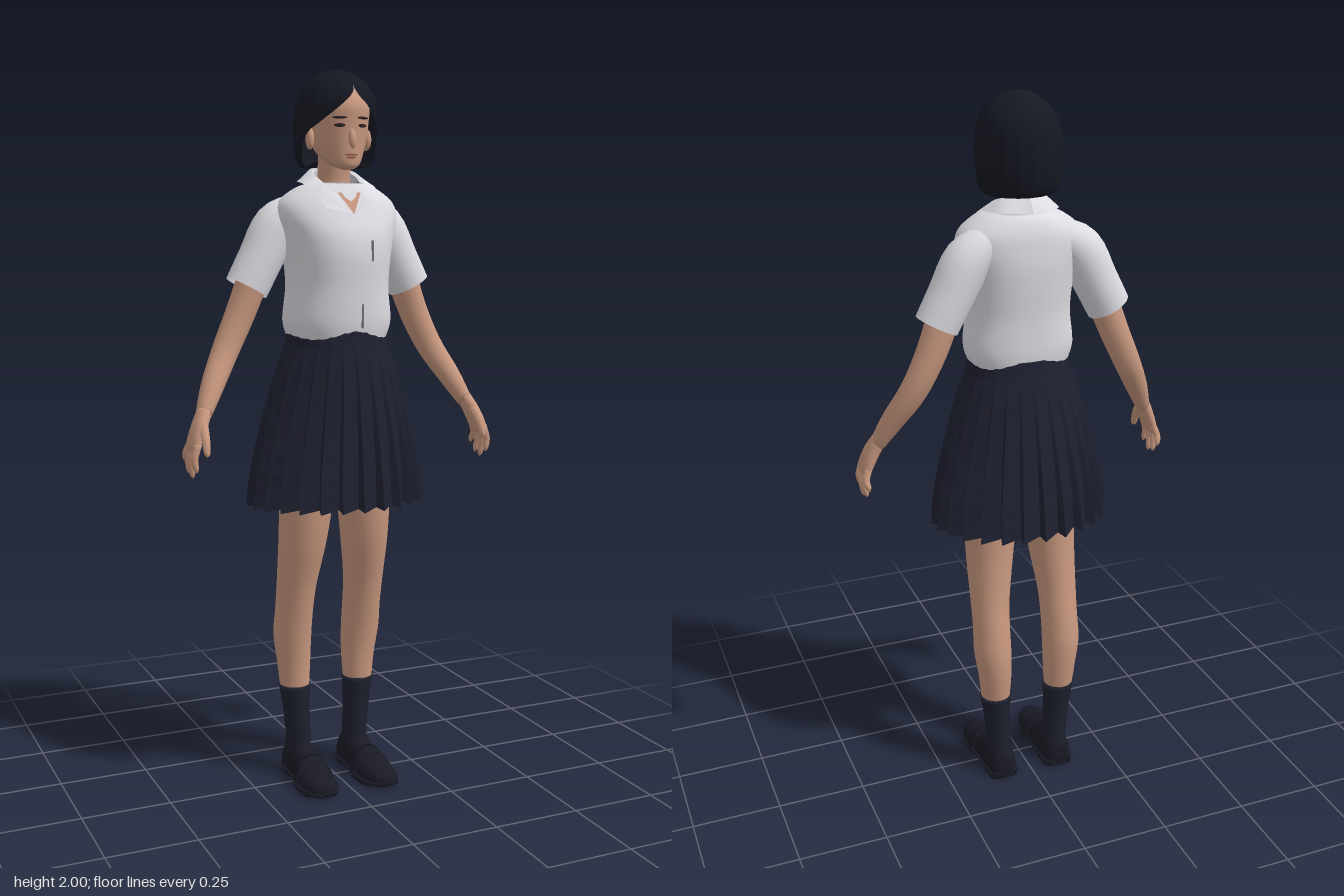
import * as THREE from 'three';

const flat = (name, color, side = THREE.FrontSide) => {
  const m = new THREE.MeshStandardMaterial({ color, side });
  m.name = name;
  return m;
};
const D = THREE.DoubleSide;

// Catmull-Rom resampling of rows of numbers
function smooth(rows, steps) {
  const out = [], last = rows.length - 1;
  for (let i = 0; i < last; i++) {
    const p = [rows[Math.max(i - 1, 0)], rows[i], rows[i + 1], rows[Math.min(i + 2, last)]];
    for (let k = 0; k < steps; k++) {
      const t = k / steps;
      out.push(rows[0].map((_, c) => {
        const [a, b, d, e] = p.map((r) => r[c]);
        return b + 0.5 * t * (d - a + t * (2 * a - 5 * b + 4 * d - e + t * (3 * (b - d) + e - a)));
      }));
    }
  }
  out.push(rows[last]);
  return out;
}

// Skin of rows x cols points; optional wrap-around and end caps
function surface(rows, cols, point, { closed = true, caps = false } = {}) {
  const pos = [], idx = [], n = closed ? cols : cols + 1;
  for (let i = 0; i < rows; i++) for (let j = 0; j < n; j++) pos.push(...point(i, j / cols));
  const at = (i, j) => i * n + (closed ? j % cols : j);
  for (let i = 0; i < rows - 1; i++) for (let j = 0; j < cols; j++)
    idx.push(at(i, j), at(i, j + 1), at(i + 1, j), at(i, j + 1), at(i + 1, j + 1), at(i + 1, j));
  if (caps) for (const i of [0, rows - 1]) {
    const c = [0, 0, 0];
    for (let j = 0; j < n; j++) for (let k = 0; k < 3; k++) c[k] += pos[at(i, j) * 3 + k] / n;
    const centre = pos.length / 3;
    pos.push(...c);
    for (let j = 0; j < cols; j++)
      i ? idx.push(centre, at(i, j), at(i, j + 1)) : idx.push(centre, at(i, j + 1), at(i, j));
  }
  const g = new THREE.BufferGeometry();
  g.setAttribute('position', new THREE.Float32BufferAttribute(pos, 3));
  g.setIndex(idx);
  g.computeVertexNormals();
  return g;
}

// Horizontal sections: [y, cx, cz, halfWidth, front, back, tilt]
function body(rows, { cols = 32, power = 1, caps = true, steps = 4 } = {}) {
  const r = smooth(rows, steps);
  const pw = (v) => Math.sign(v) * Math.abs(v) ** power;
  return surface(r.length, cols, (i, v) => {
    const [y, cx, cz, rx, f, b, tilt = 0] = r[i];
    const s = pw(Math.sin(v * 2 * Math.PI)), c = pw(Math.cos(v * 2 * Math.PI));
    const dz = c * (c > 0 ? f : b);
    return [cx + rx * s, y - tilt * dz, cz + dz];
  }, { caps });
}

// Sections across a path: [x, y, z, radius across, radius in depth]
function limb(rows, { cols = 16, caps = true, steps = 4 } = {}) {
  const r = smooth(rows, steps), P = r.map((q) => new THREE.Vector3(q[0], q[1], q[2]));
  return surface(r.length, cols, (i, v) => {
    const T = P[Math.min(i + 1, P.length - 1)].clone().sub(P[Math.max(i - 1, 0)]).normalize();
    const V = new THREE.Vector3(0, 0, 1).addScaledVector(T, -T.z).normalize();
    const U = T.clone().cross(V), a = v * 2 * Math.PI;
    return P[i].clone().addScaledVector(U, r[i][3] * Math.sin(a)).addScaledVector(V, r[i][4] * Math.cos(a)).toArray();
  }, { caps });
}

function mirrored(geo) {
  const g = geo.clone().scale(-1, 1, 1), a = g.index.array;
  for (let i = 0; i < a.length; i += 3) [a[i], a[i + 1]] = [a[i + 1], a[i]];
  g.computeVertexNormals();
  return g;
}

export function createModel() {
  const model = new THREE.Group();
  const skin = flat('skin', 0xc8987f), shirt = flat('white cotton', 0xdcdce2, D);
  const navy = flat('navy cloth', 0x1e2030, D), hairMat = flat('black hair', 0x161822, D);
  const sock = flat('dark sock', 0x1d1f2c), leather = flat('shoe leather', 0x191a24);
  const seam = flat('grey seam', 0x77787f), eyeMat = flat('dark eye', 0x2a2226), lipMat = flat('lip', 0xa86d60);
  navy.flatShading = true;
  const add = (name, geo, mat) => {
    const m = new THREE.Mesh(geo, mat);
    m.name = name;
    model.add(m);
    return m;
  };
  const pair = (name, geo, mat) => {
    add('left' + name, geo, mat);
    add('right' + name, mirrored(geo), mat);
  };

  // Head and neck
  add('head', body([
    [1.732, 0, 0.085, 0.012, 0.012, 0.02], [1.745, 0, 0.065, 0.038, 0.042, 0.05],
    [1.78, 0, 0.03, 0.062, 0.078, 0.08], [1.82, 0, 0.02, 0.074, 0.09, 0.1], [1.86, 0, 0.02, 0.08, 0.093, 0.11],
    [1.9, 0, 0.02, 0.082, 0.094, 0.11], [1.94, 0, 0.01, 0.068, 0.08, 0.08], [1.965, 0, 0, 0.03, 0.04, 0.04],
  ]), skin);
  add('neck', body([
    [1.6, 0, 0, 0.075, 0.075, 0.07], [1.66, 0, -0.01, 0.058, 0.062, 0.055],
    [1.7, 0, -0.012, 0.045, 0.048, 0.045], [1.79, 0, 0.0, 0.046, 0.05, 0.05],
  ]), skin);
  const ball = (name, mat, p, s, rx = 0, ry = 0) => {
    const m = add(name, new THREE.SphereGeometry(1, 16, 10), mat);
    m.position.set(...p);
    m.scale.set(...s);
    m.rotation.set(rx, ry, 0);
  };
  ball('nose', skin, [0, 1.812, 0.113], [0.011, 0.027, 0.011], -0.18);
  ball('upperLip', lipMat, [0, 1.771, 0.107], [0.019, 0.004, 0.005]);
  ball('lowerLip', lipMat, [0, 1.764, 0.106], [0.015, 0.004, 0.005]);
  for (const [side, s] of [['left', 1], ['right', -1]]) {
    ball(side + 'Eye', eyeMat, [s * 0.033, 1.846, 0.104], [0.015, 0.005, 0.004], 0, s * 0.4);
    ball(side + 'Brow', eyeMat, [s * 0.034, 1.866, 0.106], [0.02, 0.0035, 0.004], 0, s * 0.4);
    ball(side + 'Ear', skin, [s * 0.083, 1.815, 0.02], [0.012, 0.03, 0.018], 0, s * 0.3);
  }

  // Bob haircut: [y, halfWidth, front, back, half angle left open for the face]
  const bob = smooth([
    [1.755, 0.06, 0.06, 0.055, 1.5], [1.74, 0.09, 0.08, 0.085, 1.45], [1.76, 0.106, 0.1, 0.102, 1.38],
    [1.8, 0.112, 0.11, 0.112, 1.3], [1.83, 0.113, 0.12, 0.116, 1.12], [1.86, 0.112, 0.128, 0.118, 0.75],
    [1.9, 0.107, 0.134, 0.117, 0.33], [1.93, 0.097, 0.127, 0.109, 0.06], [1.955, 0.082, 0.108, 0.094, 0],
    [1.98, 0.056, 0.076, 0.066, 0], [1.994, 0.028, 0.036, 0.034, 0], [2, 0.001, 0.001, 0.001, 0],
  ], 4);
  add('hair', surface(bob.length, 72, (i, v) => {
    const [y, rx, f, b, open] = bob[i], gap = Math.max(open, 0);
    const t = gap + (2 * Math.PI - 2 * gap) * v, c = Math.cos(t);
    const k = 1 + 0.01 * Math.cos(18 * t);
    return [rx * k * Math.sin(t), y, c * k * (c > 0 ? f : b)];
  }, { closed: false }), hairMat);

  // Shirt
  add('shirtBody', body([
    [1.28, 0, 0, 0.136, 0.136, 0.098], [1.33, 0, 0, 0.15, 0.145, 0.104], [1.42, 0, 0, 0.14, 0.15, 0.106],
    [1.5, 0, 0, 0.146, 0.155, 0.113], [1.56, 0, 0, 0.158, 0.147, 0.117], [1.61, 0, 0, 0.172, 0.125, 0.115, 0.1],
    [1.65, 0, 0, 0.16, 0.105, 0.11, 0.2], [1.685, 0, 0, 0.112, 0.085, 0.095, 0.35], [1.7, 0, 0, 0.066, 0.075, 0.075, 0.5],
  ], { cols: 48, power: 0.88, caps: false }), shirt);
  pair('Sleeve', limb([
    [0.09, 1.63, -0.04, 0.045, 0.05], [0.155, 1.585, -0.04, 0.064, 0.062],
    [0.205, 1.495, -0.04, 0.062, 0.06], [0.246, 1.417, -0.04, 0.061, 0.056],
  ], { cols: 24, caps: false }), shirt);

  // Folded collar: neck edge, crease and outer edge, from front to back
  const edges = [
    [[0.004, 1.618, 0.119], [0.033, 1.67, 0.088], [0.056, 1.705, 0.03], [0.05, 1.73, -0.035], [0, 1.738, -0.07]],
    [[0.03, 1.62, 0.124], [0.052, 1.67, 0.096], [0.066, 1.712, 0.03], [0.058, 1.737, -0.042], [0, 1.744, -0.08]],
    [[0.078, 1.632, 0.118], [0.088, 1.655, 0.092], [0.102, 1.692, 0.03], [0.085, 1.704, -0.065], [0, 1.702, -0.104]],
  ].map((pts) => new THREE.CatmullRomCurve3(pts.map((p) => new THREE.Vector3(...p))));
  pair('Collar', surface(3, 20, (i, v) => edges[2 - i].getPoint(v).toArray(), { closed: false }), shirt);
  const neckline = new THREE.BufferGeometry().setFromPoints([[-0.034, 1.672, 0.092], [0, 1.614, 0.126], [0.034, 1.672, 0.092]]
    .map((p) => new THREE.Vector3(...p)));
  neckline.computeVertexNormals();
  add('openNeckline', neckline, skin);
  for (const [name, x, y, z, h] of [['pocketSeam', 0.042, 1.518, 0.151, 0.055], ['placketSeam', 0.016, 1.345, 0.146, 0.065]])
    add(name, new THREE.BoxGeometry(0.004, h, 0.008), seam).position.set(x, y, z);

  // Pleated skirt: [y, halfWidth, front, back, pleat depth]
  const cut = smooth([
    [1.305, 0.14, 0.141, 0.103, 0], [1.26, 0.145, 0.146, 0.112, 0], [1.2, 0.168, 0.156, 0.128, 0.012],
    [1.05, 0.208, 0.172, 0.16, 0.03], [0.92, 0.235, 0.182, 0.182, 0.045], [0.825, 0.243, 0.188, 0.192, 0.06],
  ].reverse(), 2);
  const pleats = 26;
  add('skirt', surface(cut.length, pleats * 2, (i, v) => {
    const [y, rx, f, b, amp] = cut[i], k = Math.round(v * pleats * 2), out = k % 2 === 0;
    const t = (Math.floor(k / 2) + (out ? 0 : 0.85)) / pleats * 2 * Math.PI, c = Math.cos(t);
    const s = 1 + (out ? amp : -amp);
    return [rx * s * Math.sin(t), y - (out ? amp * 0.15 : 0), c * s * (c > 0 ? f : b)];
  }), navy);

  // Arms and hands
  pair('Arm', limb([
    [0.22, 1.46, -0.04, 0.044, 0.045], [0.262, 1.35, -0.045, 0.041, 0.041], [0.312, 1.245, -0.036, 0.037, 0.037],
    [0.362, 1.155, 0.0, 0.031, 0.032], [0.397, 1.085, 0.03, 0.021, 0.027],
  ]), skin);
  pair('Palm', limb([
    [0.394, 1.095, 0.028, 0.02, 0.026], [0.414, 1.055, 0.042, 0.02, 0.036],
    [0.432, 1.01, 0.05, 0.016, 0.042], [0.435, 0.992, 0.052, 0.009, 0.037],
  ]), skin);
  const fingers = [['Index', 0.082, 0.086, 0.94], ['Middle', 0.062, 0.054, 0.922], ['Ring', 0.04, 0.026, 0.93], ['Little', 0.02, 0, 0.955]];
  for (const [name, z0, z1, y1] of fingers) pair(name + 'Finger', limb([
    [0.43, 1.015, z0, 0.011, 0.011], [0.441, (1.015 + y1) / 2, (z0 + z1) / 2, 0.01, 0.01],
    [0.438, y1 + 0.012, z1, 0.008, 0.008], [0.436, y1, z1, 0.002, 0.002],
  ], { cols: 8, steps: 3 }), skin);
  pair('Thumb', limb([
    [0.408, 1.065, 0.06, 0.014, 0.014], [0.412, 1.03, 0.092, 0.012, 0.012],
    [0.414, 0.995, 0.108, 0.009, 0.009], [0.414, 0.985, 0.11, 0.002, 0.002],
  ], { cols: 8, steps: 3 }), skin);

  // Legs and socks
  pair('Leg', body([
    [0.26, 0.1, -0.065, 0.042, 0.043, 0.043], [0.34, 0.102, -0.068, 0.048, 0.052, 0.052], [0.42, 0.107, -0.064, 0.054, 0.06, 0.06],
    [0.5, 0.106, -0.052, 0.053, 0.064, 0.062], [0.58, 0.104, -0.037, 0.056, 0.067, 0.063], [0.7, 0.096, -0.014, 0.066, 0.077, 0.076],
    [0.82, 0.089, -0.003, 0.074, 0.084, 0.085], [0.98, 0.086, 0, 0.082, 0.09, 0.09],
  ], { cols: 24 }), skin);
  pair('Sock', body([
    [0.05, 0.09, -0.065, 0.036, 0.045, 0.045], [0.12, 0.091, -0.064, 0.035, 0.044, 0.042],
    [0.2, 0.096, -0.064, 0.039, 0.042, 0.042], [0.27, 0.1, -0.065, 0.046, 0.047, 0.047],
  ], { cols: 24 }), sock);

  // Loafers: arched sections along the foot [z, cx, halfWidth, height]
  const last = smooth([
    [-0.118, 0.088, 0.022, 0.065], [-0.1, 0.088, 0.04, 0.092], [-0.05, 0.088, 0.043, 0.105], [0, 0.088, 0.046, 0.09],
    [0.05, 0.09, 0.052, 0.07], [0.1, 0.092, 0.051, 0.056], [0.145, 0.094, 0.036, 0.045], [0.163, 0.095, 0.012, 0.034],
  ], 4);
  const shoePart = (rows, low, high, swell) => surface(rows.length, 24, (i, v) => {
    const [z, cx, w, h] = rows[i], a = v * 2 * Math.PI, s = Math.sin(a);
    const y = s > 0 ? low + (high(h) - low) * s ** 0.8 : low;
    return [cx + (w + swell) * Math.cos(a), y, z];
  }, { caps: true });
  pair('Shoe', shoePart(last, 0.012, (h) => h, 0), leather);
  pair('ShoeStrap', shoePart(last.slice(14, 18), 0.014, (h) => h + 0.005, 0.003), leather);
  const soleShape = (from, y0, y1) => {
    const rows = last.filter((r) => r[0] >= from[0] && r[0] <= from[1]);
    return surface(rows.length, 4, (i, v) => {
      const [z, cx, w] = rows[i], k = Math.round(v * 4);
      return [cx + (k === 0 || k === 3 ? 1 : -1) * (w + 0.003), k === 0 || k === 1 ? y1 : y0, z];
    }, { caps: true });
  };
  pair('Sole', soleShape([-0.12, 0.17], 0.008, 0.018), leather);
  pair('Heel', soleShape([-0.12, -0.04], 0, 0.012), leather);
  pair('ForeSole', soleShape([0.03, 0.13], 0, 0.012), leather);
  return model;
}
